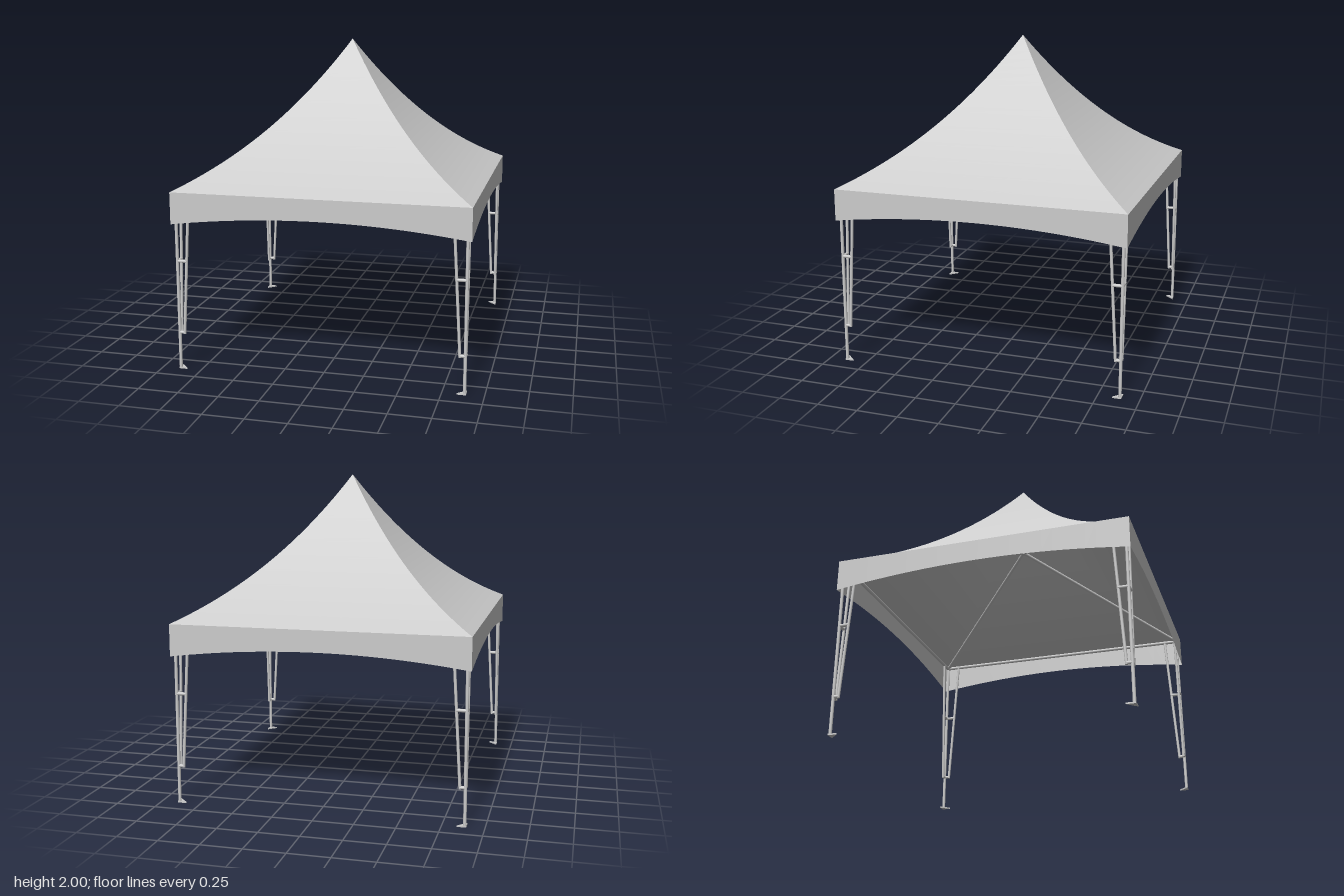
import * as THREE from 'three';

const HALF = 0.91;   // half width of the canopy
const EAVE = 1.12;   // height of the canopy edge
const POST = 0.884;  // post centre on x and z
const metal = new THREE.MeshStandardMaterial({ color: 0xcccccc });
const fabric = new THREE.MeshStandardMaterial({ color: 0xcccccc, side: THREE.DoubleSide });

// Sagging roof profile: height at distance r from the centre
const roofHeight = (r) => 2 - 1.55 * r + 0.768 * r * r - 0.14 * r * r * r;

function addMesh(parent, name, geometry, material = metal) {
  const mesh = new THREE.Mesh(geometry, material);
  mesh.name = name;
  parent.add(mesh);
  return mesh;
}

// Round tube running between two points of the parent
function addTube(parent, name, a, b, radius) {
  const from = new THREE.Vector3(...a), to = new THREE.Vector3(...b);
  const along = to.clone().sub(from);
  const geo = new THREE.CylinderGeometry(radius, radius, along.length(), 12);
  const tube = addMesh(parent, name, geo);
  tube.position.copy(from).add(to).multiplyScalar(0.5);
  tube.quaternion.setFromUnitVectors(new THREE.Vector3(0, 1, 0), along.normalize());
}

// One sloping side of the roof, a triangle bent along the profile
function roofPanelGeometry() {
  const geo = new THREE.PlaneGeometry(2, 1, 1, 28);
  const p = geo.attributes.position;
  for (let i = 0; i < p.count; i++) {
    const r = (0.5 - p.getY(i)) * HALF;
    p.setXYZ(i, p.getX(i) * r, roofHeight(r), r);
  }
  geo.computeVertexNormals();
  return geo;
}

// Hanging edge with an arched lower hem
function valanceGeometry() {
  const geo = new THREE.PlaneGeometry(2, 1, 28, 1);
  const p = geo.attributes.position;
  for (let i = 0; i < p.count; i++) {
    const u = p.getX(i);
    const y = p.getY(i) > 0 ? EAVE : 0.988 - 0.065 * u * u;
    p.setXYZ(i, u * HALF, y, HALF);
  }
  geo.computeVertexNormals();
  return geo;
}

// Triangular foot plate with its right angle at the outer corner
function footGeometry() {
  const o = 0.894, i = 0.838;
  const shape = new THREE.Shape([
    new THREE.Vector2(o, -o), new THREE.Vector2(o, -i), new THREE.Vector2(i, -o),
  ]);
  const geo = new THREE.ExtrudeGeometry(shape, { depth: 0.009, bevelEnabled: false });
  return geo.rotateX(-Math.PI / 2);
}

// Corner leg: post, foot and two splayed braces
function createLeg() {
  const leg = new THREE.Group();
  leg.name = 'leg';
  addTube(leg, 'post', [POST, 0, POST], [POST, 1.1, POST], 0.01);
  addMesh(leg, 'foot', footGeometry());
  for (const swap of [false, true]) {
    const at = (inward, y) => (swap ? [POST, y, inward] : [inward, y, POST]);
    addTube(leg, 'brace', at(0.852, 0.226), at(0.8, 1.1), 0.009);
    addTube(leg, 'lowerBracket', at(POST, 0.235), at(0.85, 0.235), 0.01);
    addTube(leg, 'upperBracket', at(POST, 0.69), at(0.823, 0.69), 0.01);
  }
  return leg;
}

export function createModel() {
  const model = new THREE.Group();
  model.name = 'canopyTent';
  const panel = roofPanelGeometry();
  const valance = valanceGeometry();

  // The four sides are identical, turned a quarter each
  for (let k = 0; k < 4; k++) {
    const side = new THREE.Group();
    side.name = 'side';
    side.rotation.y = k * Math.PI / 2;
    addMesh(side, 'roofPanel', panel, fabric);
    addMesh(side, 'valance', valance, fabric);
    side.add(createLeg());
    addTube(side, 'eaveRail', [-POST, 1.097, POST], [POST, 1.097, POST], 0.011);
    addTube(side, 'rafter', [POST, 1.1, POST], [0, 1.51, 0], 0.011);
    model.add(side);
  }

  // Central mast holding up the peak
  addTube(model, 'mast', [0, 1.495, 0], [0, 1.97, 0], 0.012);
  return model;
}
